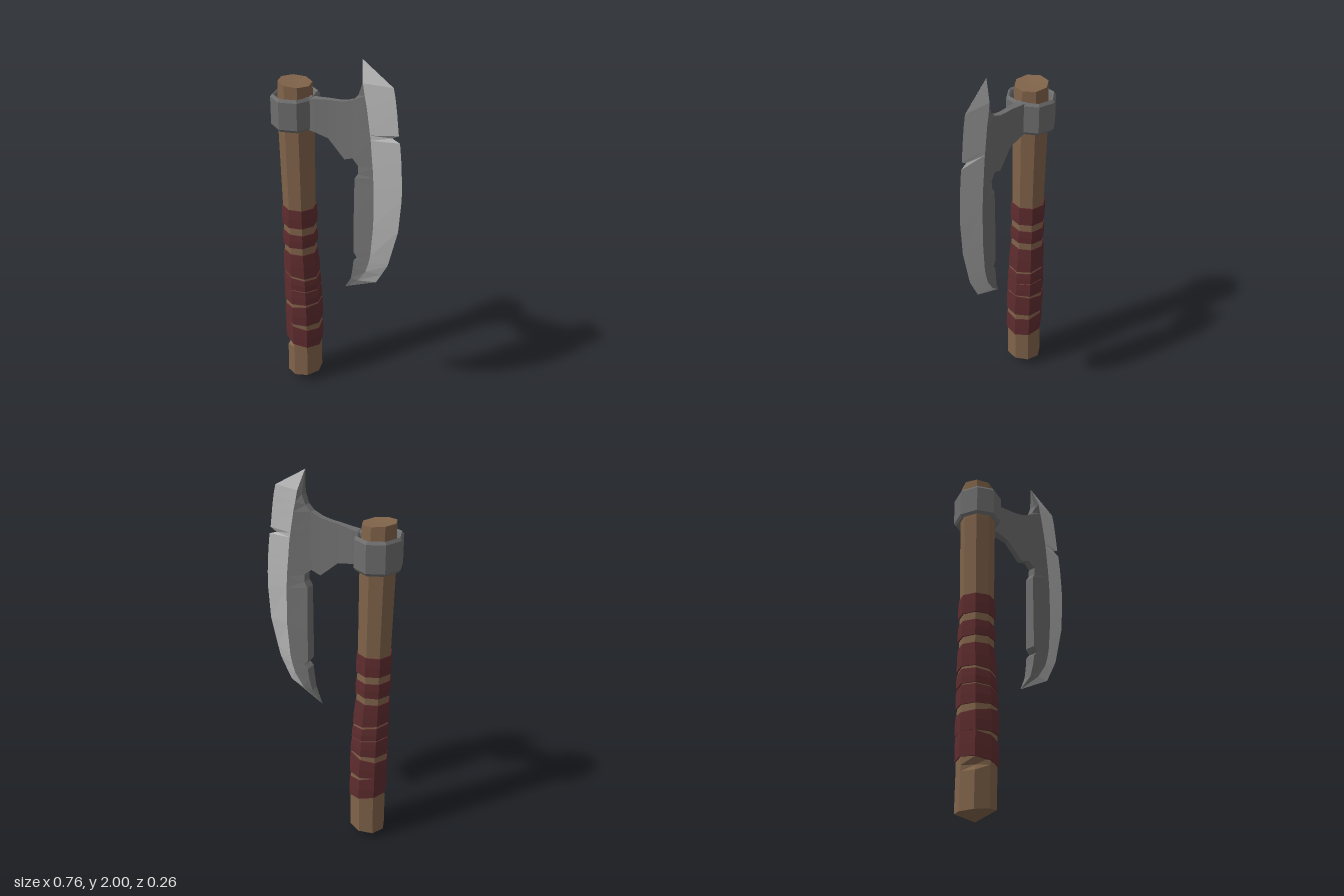
import * as THREE from 'three';

const mat = (color) => new THREE.MeshStandardMaterial({ color, flatShading: true });
const wood = mat(0x80634a), leather = mat(0x5e2c2e), steel = mat(0x6e6e6e), sharp = mat(0xb4b4b4);

// Skins a row of equal closed rings; rings run counterclockwise seen from the end cap.
function loft(rings, startTip, endTip) {
  const out = [];
  const tri = (...v) => v.forEach((p) => out.push(...p));
  const mid = (r) => [0, 1, 2].map((k) => r.reduce((s, p) => s + p[k], 0) / r.length);
  const n = rings[0].length, last = rings[rings.length - 1];
  const c0 = startTip || mid(rings[0]), c1 = endTip || mid(last);
  for (let j = 0; j < n; j++) {
    const k = (j + 1) % n;
    for (let i = 0; i < rings.length - 1; i++) {
      const a = rings[i], b = rings[i + 1];
      tri(a[j], a[k], b[k]);
      tri(a[j], b[k], b[j]);
    }
    tri(c0, rings[0][k], rings[0][j]);
    tri(c1, last[j], last[k]);
  }
  const g = new THREE.BufferGeometry();
  g.setAttribute('position', new THREE.Float32BufferAttribute(out, 3));
  g.computeVertexNormals();
  return g;
}

// Handle shape: height, centre x, radius
const shaft = [
  [0, -0.24, 0.099], [0.25, -0.238, 0.098], [0.5, -0.24, 0.099], [0.7, -0.246, 0.094],
  [0.86, -0.253, 0.087], [1.13, -0.256, 0.087], [1.58, -0.262, 0.092], [1.82, -0.265, 0.086],
];
function shaftAt(y) {
  let i = 0;
  while (i < shaft.length - 2 && y > shaft[i + 1][0]) i++;
  const [a, b] = [shaft[i], shaft[i + 1]], t = (y - a[0]) / (b[0] - a[0]);
  return [a[1] + (b[1] - a[1]) * t, a[2] + (b[2] - a[2]) * t];
}
// Eight-sided ring, sloping from height yl on the -x side to yr on the +x side
function ring(yl, yr, grow = 0, chip = 0) {
  const [cx, r] = shaftAt((yl + yr) / 2);
  return Array.from({ length: 8 }, (_, j) => {
    const a = (j * Math.PI) / 4, c = Math.cos(a);
    const R = r + grow - (j === 5 ? chip : 0);
    return [cx + R * c, (yl + yr) / 2 + ((yr - yl) / 2) * c, -R * Math.sin(a)];
  });
}

export function createModel() {
  const group = new THREE.Group();
  const add = (name, geometry, material, parent = group) => {
    const m = new THREE.Mesh(geometry, material);
    m.name = name;
    parent.add(m);
    return m;
  };

  // Wooden handle with a small chip near the foot
  add('handle', loft([
    ring(0.035, 0.06), ring(0.22, 0.22), ring(0.25, 0.25, 0, 0.022), ring(0.285, 0.285),
    ring(0.5, 0.5), ring(0.7, 0.7), ring(0.86, 0.86), ring(1.13, 1.13), ring(1.58, 1.58),
    ring(1.815, 1.8),
  ], [-0.24, 0, 0], [-0.26, 1.803, 0]), wood);

  // Leather wraps: bottom left/right, top left/right
  const wraps = new THREE.Group();
  wraps.name = 'gripWraps';
  group.add(wraps);
  [
    [0.29, 0.255, 0.415, 0.37], [0.412, 0.41, 0.505, 0.54], [0.545, 0.55, 0.645, 0.625],
    [0.652, 0.632, 0.728, 0.698], [0.742, 0.712, 0.86, 0.86], [0.9, 0.905, 0.985, 0.98],
    [1.025, 1.025, 1.13, 1.13],
  ].forEach(([bl, br, tl, tr]) => add('gripWrap', loft([
    ring(bl, br, -0.01), ring(bl, br, 0.007),
    ring((bl + tl) / 2, (br + tr) / 2, 0.008),
    ring(tl, tr, 0.005), ring(tl, tr, -0.01),
  ]), leather, wraps));

  // Eight-sided bevelled collar
  const profile = [
    [0.085, 1.6], [0.108, 1.58], [0.118, 1.595], [0.118, 1.737], [0.108, 1.752],
    [0.1, 1.745], [0.085, 1.7], [0.085, 1.6],
  ].map(([x, y]) => new THREE.Vector2(x, y));
  const collar = add('collar', new THREE.LatheGeometry(profile, 8), steel);
  collar.position.x = -0.265;
  collar.scale.z = 1.12;

  // Neck from collar to blade: x, top y, bottom y, half thickness
  add('bladeNeck', loft([
    [-0.19, 1.745, 1.585, 0.024], [-0.13, 1.752, 1.58, 0.022], [-0.05, 1.765, 1.565, 0.015],
    [0, 1.77, 1.522, 0.015], [0.05, 1.78, 1.48, 0.016], [0.1, 1.8, 1.5, 0.018],
  ].map(([x, t, b, z]) => [[x, t, z], [x, b, z], [x, b, -z], [x, t, -z]])), steel);

  // Blade rows: back x,y; ridge x,y; edge x,y; half thickness at back and ridge
  const rows = [
    [0.05, 0.73, 0.052, 0.731, 0.054, 0.731, 0.001, 0.001],
    [0.1, 0.81, 0.15, 0.82, 0.245, 0.83, 0.022, 0.03],
    [0.115, 0.88, 0.2, 0.895, 0.278, 0.89, 0.028, 0.033],
    [0.122, 0.935, 0.217, 0.95, 0.31, 0.95, 0.03, 0.034],
    [0.143, 0.955, 0.222, 0.97, 0.317, 0.97, 0.03, 0.034],
    [0.12, 0.985, 0.228, 1.0, 0.327, 1.01, 0.03, 0.034],
    [0.12, 1.17, 0.243, 1.18, 0.367, 1.17, 0.03, 0.035],
    [0.12, 1.4, 0.24, 1.38, 0.38, 1.35, 0.027, 0.035],
    [0.138, 1.43, 0.236, 1.44, 0.378, 1.43, 0.024, 0.035],
    [0.138, 1.47, 0.232, 1.49, 0.373, 1.5, 0.022, 0.035],
    [0.1, 1.5, 0.227, 1.53, 0.369, 1.55, 0.018, 0.035],
    [0.1, 1.62, 0.217, 1.63, 0.358, 1.64, 0.018, 0.035],
    [0.1, 1.65, 0.213, 1.655, 0.315, 1.655, 0.018, 0.035],
    [0.1, 1.68, 0.209, 1.68, 0.35, 1.675, 0.018, 0.035],
    [0.1, 1.8, 0.19, 1.79, 0.335, 1.79, 0.018, 0.034],
    [0.13, 1.83, 0.178, 1.84, 0.325, 1.85, 0.018, 0.034],
    [0.149, 1.88, 0.166, 1.9, 0.313, 1.9, 0.018, 0.033],
    [0.139, 2, 0.14, 2, 0.141, 1.999, 0.001, 0.001],
  ];
  add('bladeBody', loft(rows.map(([bx, by, rx, ry, , , tb, tr]) => [
    [rx, ry, -tr], [bx, by, -tb], [bx, by, tb], [rx, ry, tr],
  ])), steel);
  add('cuttingEdge', loft(rows.map(([, , rx, ry, ex, ey, , tr]) => [
    [ex, ey, 0], [rx, ry, -tr], [rx, ry, tr],
  ])), sharp);

  return group;
}
